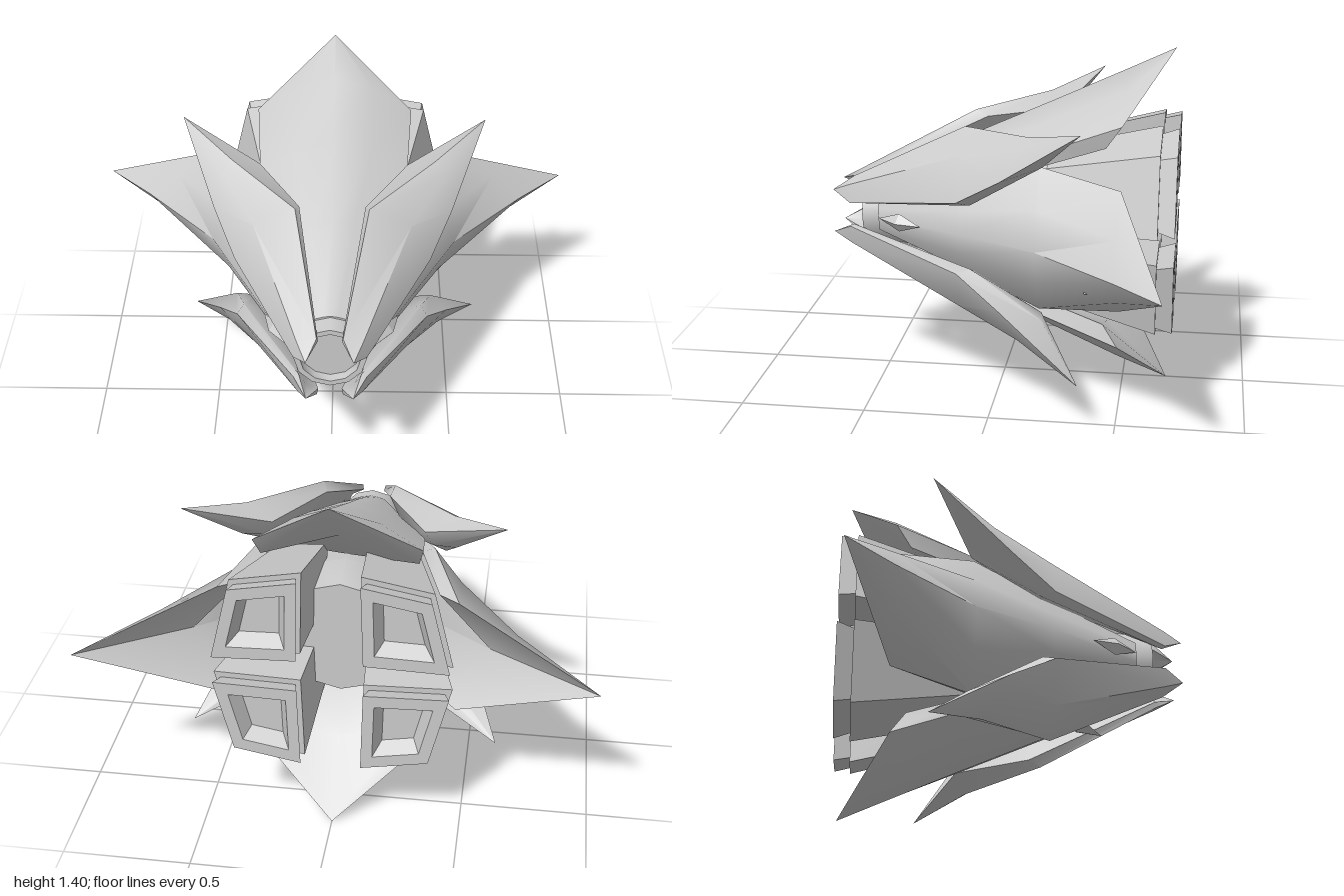
import * as THREE from 'three';
import { toCreasedNormals } from 'three/addons/utils/BufferGeometryUtils.js';

const AXIS = 0.7; // height of the hull's long axis
const material = new THREE.MeshStandardMaterial({ color: 0xcccccc });

// Skin closed rings of [x, y, z] points, cap both ends and face outward.
function loft(rings, crease) {
  const tris = [];
  const add = (a, b, c) => {
    const area = new THREE.Triangle(a, b, c).getArea();
    if (area > 1e-7) tris.push([a, b, c]);
  };
  const R = rings.map(r => r.map(p => new THREE.Vector3(...p)));
  const n = R[0].length;
  for (let i = 0; i < R.length - 1; i++) {
    for (let j = 0; j < n; j++) {
      const k = (j + 1) % n;
      add(R[i][j], R[i + 1][j], R[i + 1][k]);
      add(R[i][j], R[i + 1][k], R[i][k]);
    }
  }
  [R[0], R[R.length - 1]].forEach((ring, end) => {
    const mid = new THREE.Vector3();
    ring.forEach(p => mid.addScaledVector(p, 1 / n));
    for (let j = 0; j < n; j++) {
      const a = ring[j], b = ring[(j + 1) % n];
      if (end) add(mid, b, a); else add(mid, a, b);
    }
  });
  // Signed volume tells which way the skin faces
  const cross = new THREE.Vector3();
  let volume = 0;
  for (const [a, b, c] of tris) volume += a.dot(cross.crossVectors(b, c));
  const points = tris.flatMap(([a, b, c]) => (volume < 0 ? [a, c, b] : [a, b, c]));
  return toCreasedNormals(new THREE.BufferGeometry().setFromPoints(points), crease);
}

// Petal rings in local [across, outward, z]; station: z, half width,
// outer edge radius, ridge radius, inner edge radius, inner middle radius, inner z shift
function petalRings(stations, tipRadius) {
  const rings = stations.map(([z, h, edge, ridge, inEdge, inMid, dz]) => {
    const q = edge + (ridge - edge) * 0.64;
    return [
      [-h, edge, z], [-h / 2, q, z], [0, ridge, z], [h / 2, q, z], [h, edge, z],
      [h * 0.94, inEdge, z + dz], [0, inMid, z + dz], [-h * 0.94, inEdge, z + dz],
    ];
  });
  rings.push(rings[0].map(() => [0, tipRadius, -0.68]));
  return rings;
}

const uprightPetal = petalRings([
  [0.5, 0.06, 0.135, 0.15, 0.11, 0.11, 0],
  [0.14, 0.17, 0.25, 0.32, 0.19, 0.15, 0],
  [-0.2, 0.30, 0.34, 0.475, 0.28, 0.25, 0],
  [-0.49, 0.32, 0.45, 0.61, 0.36, 0.46, 0.06],
], 0.7);

const sidePetal = petalRings([
  [0.5, 0.06, 0.135, 0.15, 0.11, 0.11, 0],
  [0.14, 0.17, 0.25, 0.345, 0.19, 0.15, 0],
  [-0.18, 0.29, 0.34, 0.51, 0.29, 0.25, 0],
  [-0.5, 0.24, 0.46, 0.81, 0.38, 0.58, 0.08],
], 1);

// Diagonal blade: upper edge, ridge, side edge, then the inner wall back again
const bladeRings = [
  Array(6).fill([0.09, 0.09, 0.7]),
  [[0.05, 0.14, 0.62], [0.125, 0.125, 0.62], [0.14, 0.05, 0.62],
    [0.12, 0.045, 0.61], [0.095, 0.095, 0.61], [0.045, 0.12, 0.61]],
  [[0.145, 0.39, 0.14], [0.31, 0.31, 0.14], [0.39, 0.145, 0.14],
    [0.365, 0.13, 0.09], [0.2, 0.2, 0.09], [0.13, 0.365, 0.09]],
  [[0.41, 0.422, -0.15], [0.45, 0.385, -0.11], [0.48, 0.26, -0.04],
    [0.42, 0.31, -0.2], [0.33, 0.31, -0.19], [0.3, 0.37, -0.2]],
  Array(6).fill([0.62, 0.49, -0.36]),
];

// Kite-shaped engine section scaled about the given centre
const kite = [[0.12, 0.06], [0.11, 0.41], [0.38, 0.36], [0.455, 0.05]];
const kiteRing = (scale, z, cx = 0.26, cy = 0.22) =>
  kite.map(([x, y]) => [cx + (x - cx) * scale, cy + (y - cy) * scale, z]);
// The housing narrows towards the hull axis
const housing = [kiteRing(0.74, -0.2, 0, 0), kiteRing(1, -0.64)];
const nozzle = [
  kiteRing(0.86, -0.62), kiteRing(0.86, -0.64), kiteRing(0.96, -0.705),
  kiteRing(0.66, -0.705), kiteRing(0.45, -0.645),
];

export function createModel() {
  const ship = new THREE.Group();
  ship.name = 'ship';
  const hull = new THREE.Group();
  hull.name = 'hull';
  hull.position.y = AXIS;
  ship.add(hull);

  const add = (name, geometry) => {
    const mesh = new THREE.Mesh(geometry, material);
    mesh.name = name;
    hull.add(mesh);
    return mesh;
  };
  const mapped = (rings, f, crease) => loft(rings.map(r => r.map(f)), crease);

  // Central core with a recessed nose face inside a rim
  const profile = [[0, -0.42], [0.24, -0.42], [0.26, -0.25], [0.19, 0.1], [0.145, 0.48],
    [0.14, 0.57], [0.118, 0.57], [0.115, 0.535], [0, 0.535]];
  const core = new THREE.LatheGeometry(profile.map(p => new THREE.Vector2(...p)), 12);
  core.rotateX(Math.PI / 2);
  add('core', toCreasedNormals(core, 0.6));

  // Four axial petals
  for (const s of [1, -1]) {
    add(s > 0 ? 'topPetal' : 'bottomPetal', mapped(uprightPetal, ([a, r, z]) => [a, r * s, z], 0.8));
    add(s > 0 ? 'leftPetal' : 'rightPetal', mapped(sidePetal, ([a, r, z]) => [r * s, a, z], 0.8));
  }

  // Four diagonal blades and engines
  for (const sx of [1, -1]) {
    for (const sy of [1, -1]) {
      const place = ([x, y, z]) => [x * sx, y * sy, z];
      const label = (sy > 0 ? 'upper' : 'lower') + (sx > 0 ? 'Left' : 'Right');
      add(label + 'Blade', mapped(bladeRings, place, 0.8));
      add(label + 'EngineHousing', mapped(housing, place, 0.4));
      add(label + 'Nozzle', mapped(nozzle, place, 0.2));
    }
    // Small diamond fin lying along each side petal
    const fin = add(sx > 0 ? 'leftFin' : 'rightFin', new THREE.OctahedronGeometry(1));
    fin.scale.set(0.028, 0.037, 0.105);
    fin.position.set(0.218 * sx, 0, 0.4);
    fin.rotation.y = -0.47 * sx;
  }

  // Diamond keel on the bottom petal
  const keel = add('keel', new THREE.OctahedronGeometry(1));
  keel.scale.set(0.07, 0.03, 0.1);
  keel.position.set(0, -0.26, 0.28);
  keel.rotation.x = 0.42;

  // Small sensor under the left petal
  const sensor = add('sensor', new THREE.BoxGeometry(0.07, 0.03, 0.04));
  sensor.position.set(0.585, -0.1, -0.4);

  return ship;
}
